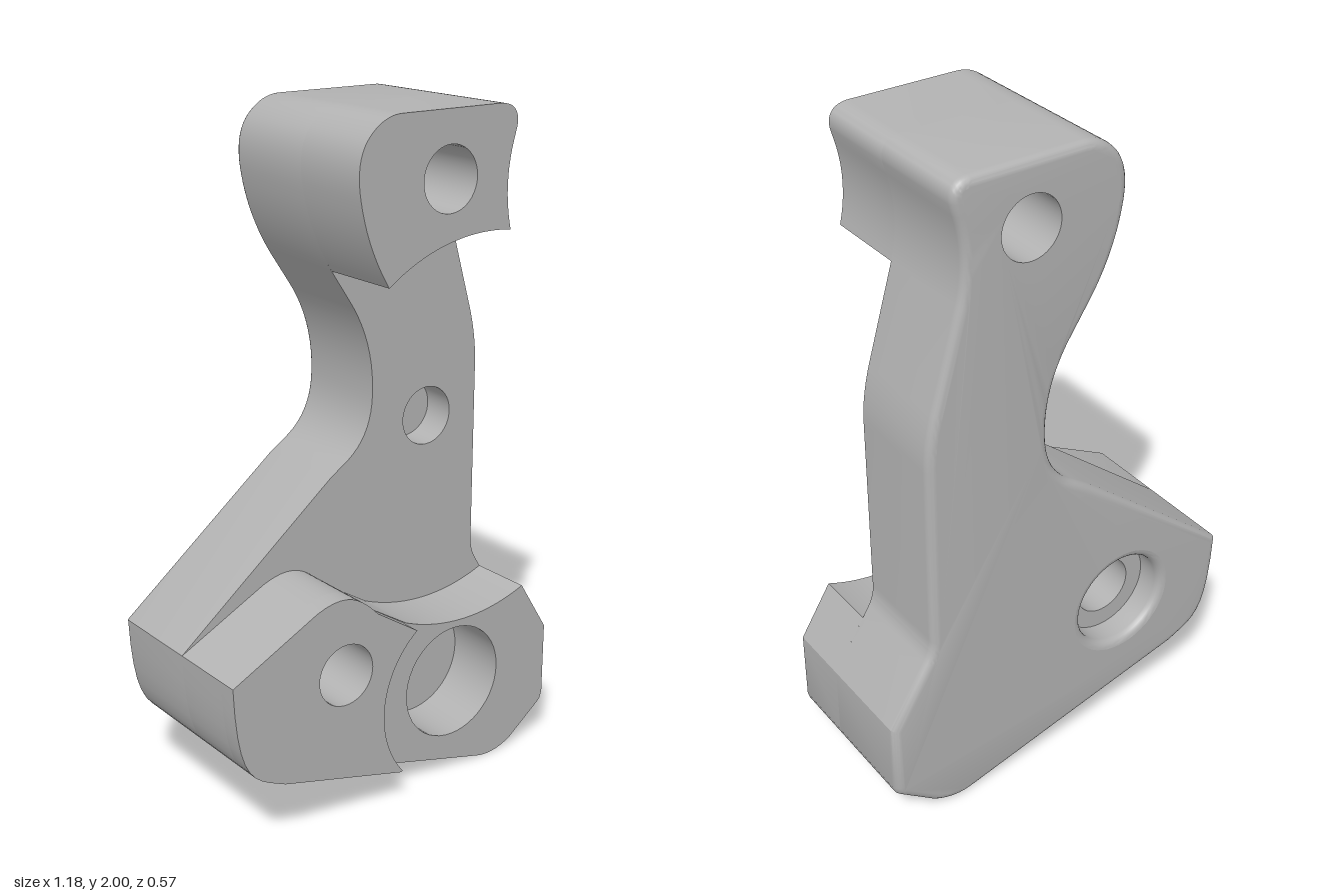
import * as THREE from 'three';
import { mergeGeometries, toCreasedNormals } from 'three/addons/utils/BufferGeometryUtils.js';

const BACK = -0.285, PLATE = 0.03, HEEL = 0.225, FRONT = 0.285, FILLET = 0.025;

// Path through segments: 2 numbers = line, 4 = quadratic, 6 = cubic
function path(start, ...segments) {
  const p = new THREE.Path();
  p.moveTo(...start);
  for (const s of segments) {
    if (s.length === 2) p.lineTo(...s);
    else if (s.length === 4) p.quadraticCurveTo(...s);
    else p.bezierCurveTo(...s);
  }
  return p.getPoints(10);
}

// Arc points around a centre, running from one point's direction to another's
function arc(cx, cy, r, from, to, clockwise) {
  const angle = ([x, y]) => Math.atan2(y - cy, x - cx);
  return new THREE.Path().absarc(cx, cy, r, angle(from), angle(to), clockwise).getPoints(24);
}

// Closed loop without repeated points
function loop(...pieces) {
  const pts = pieces.flat();
  return pts.filter((p, i) => p.distanceTo(pts[(i + 1) % pts.length]) > 0.004);
}

// Clockwise circle, so that its walls face inwards
function circle(x, y, r) {
  return Array.from({ length: 48 }, (_, i) => {
    const a = -i / 48 * Math.PI * 2;
    return new THREE.Vector2(x + r * Math.cos(a), y + r * Math.sin(a));
  });
}

// Loop moved towards its material side
function inset(pts, d) {
  const n = pts.length;
  return pts.map((p, i) => {
    const a = p.clone().sub(pts[(i + n - 1) % n]).normalize();
    const b = pts[(i + 1) % n].clone().sub(p).normalize();
    const m = new THREE.Vector2(-a.y - b.y, a.x + b.x);
    return p.clone().addScaledVector(m, d / (1 + a.dot(b)));
  });
}

// Side walls through rings of [inset, z]
function walls(pts, rings) {
  const pos = [], index = [], n = pts.length;
  rings.forEach(([d, z], k) => {
    inset(pts, d).forEach((p, i) => {
      pos.push(p.x, p.y, z);
      if (k === 0) return;
      const j = (i + 1) % n, lo = (k - 1) * n, hi = k * n;
      index.push(lo + i, lo + j, hi + j, lo + i, hi + j, hi + i);
    });
  });
  const g = new THREE.BufferGeometry();
  g.setAttribute('position', new THREE.Float32BufferAttribute(pos, 3));
  g.setIndex(index);
  return g.toNonIndexed();
}

// Flat face with holes, turned to the front or the back
function face(pts, holes, z, toBack = false) {
  const shape = new THREE.Shape(pts);
  shape.holes = holes.map(h => new THREE.Path(h));
  const g = new THREE.ShapeGeometry(shape).translate(0, 0, z);
  if (toBack) g.index.array.reverse();
  g.deleteAttribute('uv');
  g.deleteAttribute('normal');
  return g.toNonIndexed();
}

// Rings of the rounded back edge
const backEdge = Array.from({ length: 6 }, (_, i) => {
  const a = i / 5 * Math.PI / 2;
  return [FILLET * (1 - Math.sin(a)), BACK + FILLET * (1 - Math.cos(a))];
});

export function createModel() {
  const group = new THREE.Group();
  const grey = new THREE.MeshStandardMaterial({ color: 0xb2b2b2 });
  grey.name = 'grey';
  const add = (name, parts) => {
    const mesh = new THREE.Mesh(toCreasedNormals(mergeGeometries(parts), 0.5), grey);
    mesh.name = name;
    group.add(mesh);
  };

  // Outline pieces, counterclockwise
  const headEnd = [-0.08, 1.55], headStart = [0.342, 1.655];
  const lobeTip = [-0.595, 0.54], lobeEnd = [-0.02, 0.097], heelEnd = [0.49, 0.535];
  const head = path(headStart, [0.31, 1.78, 0.345, 1.9], [0.355, 1.935],
    [0.365, 1.995, 0.3, 2], [-0.04, 2], [-0.1, 2, -0.145, 1.95],
    [-0.195, 1.895, -0.172, 1.78], [-0.15, 1.66, ...headEnd]);
  const innerSide = path(headEnd, [-0.02, 1.46], [0.07, 1.33, 0.064, 1.17],
    [0.06, 1.04, -0.04, 0.98], [-0.085, 0.95], lobeTip);
  const lobeBase = path(lobeTip, [-0.585, 0.24, -0.53, 0.245, -0.43, 0.2], lobeEnd);
  const heelBase = path(lobeEnd, [0.32, 0.01], [0.39, -0.01, 0.46, 0.03],
    [0.57, 0.115], [0.59, 0.13, 0.59, 0.15], [0.59, 0.375], heelEnd);
  const outerSide = path(heelEnd, [0.47, 0.568], [0.45, 0.6, 0.45, 0.64], [0.45, 1.2],
    [0.45, 1.28, 0.425, 1.37], headStart);
  const outline = loop(head, innerSide, lobeBase, heelBase, outerSide);

  // Inner edges of the raised blocks
  const step = [0.03, 0.539], lobeTop = [-0.11, 0.627];
  const headArc = arc(0.265, 1.07, 0.59, headEnd, headStart, true);
  const heelArc = arc(0.265, 1.07, 0.58, heelEnd, step, true);
  const lobeArc = arc(0.265, 1.07, 0.58, step, lobeTop, true);
  const lobeEdge = path(lobeTop, [-0.17, 0.69, -0.22, 0.725, -0.32, 0.682], lobeTip);
  const stepArc = arc(0.22, 0.295, 0.305, lobeEnd, step, true);
  const headBlock = loop(head, headArc);
  const lowerBlock = loop(lobeBase, heelBase, heelArc, lobeArc, lobeEdge);
  const lobe = loop(lobeBase, stepArc, lobeArc, lobeEdge);

  // Holes
  const headHole = circle(0.125, 1.815, 0.092);
  const midHole = circle(0.265, 1.07, 0.088);
  const lobeHole = circle(-0.22, 0.47, 0.092);
  const counterbore = circle(-0.22, 0.47, 0.15);
  const heelHole = circle(0.22, 0.295, 0.175);
  const boreFloor = -0.195, midFloor = -0.07, heelFloor = 0.032;

  add('plate', [
    walls(outline, [...backEdge, [0, PLATE]]),
    face(inset(outline, FILLET), [headHole, inset(counterbore, FILLET)], BACK, true),
    face(outline, [headHole, midHole, lobeHole], PLATE),
  ]);
  add('headBlock', [
    walls(headBlock, [[0, PLATE], [0, FRONT]]),
    face(headBlock, [headHole], FRONT),
  ]);
  add('lowerBlock', [
    walls(lowerBlock, [[0, PLATE], [0, HEEL]]),
    face(lowerBlock, [lobeHole, heelHole], HEEL),
  ]);
  add('raisedLobe', [
    walls(lobe, [[0, HEEL], [0, FRONT]]),
    face(lobe, [lobeHole], FRONT),
  ]);
  add('headHole', [walls(headHole, [[0, BACK], [0, FRONT]])]);
  add('midHole', [walls(midHole, [[0, midFloor], [0, PLATE]]), face(midHole, [], midFloor)]);
  add('heelHole', [walls(heelHole, [[0, heelFloor], [0, HEEL]]), face(heelHole, [], heelFloor)]);
  add('lobeHole', [
    walls(lobeHole, [[0, boreFloor], [0, FRONT]]),
    walls(counterbore, [...backEdge, [0, boreFloor]]),
    face(counterbore, [lobeHole], boreFloor, true),
  ]);
  return group;
}
